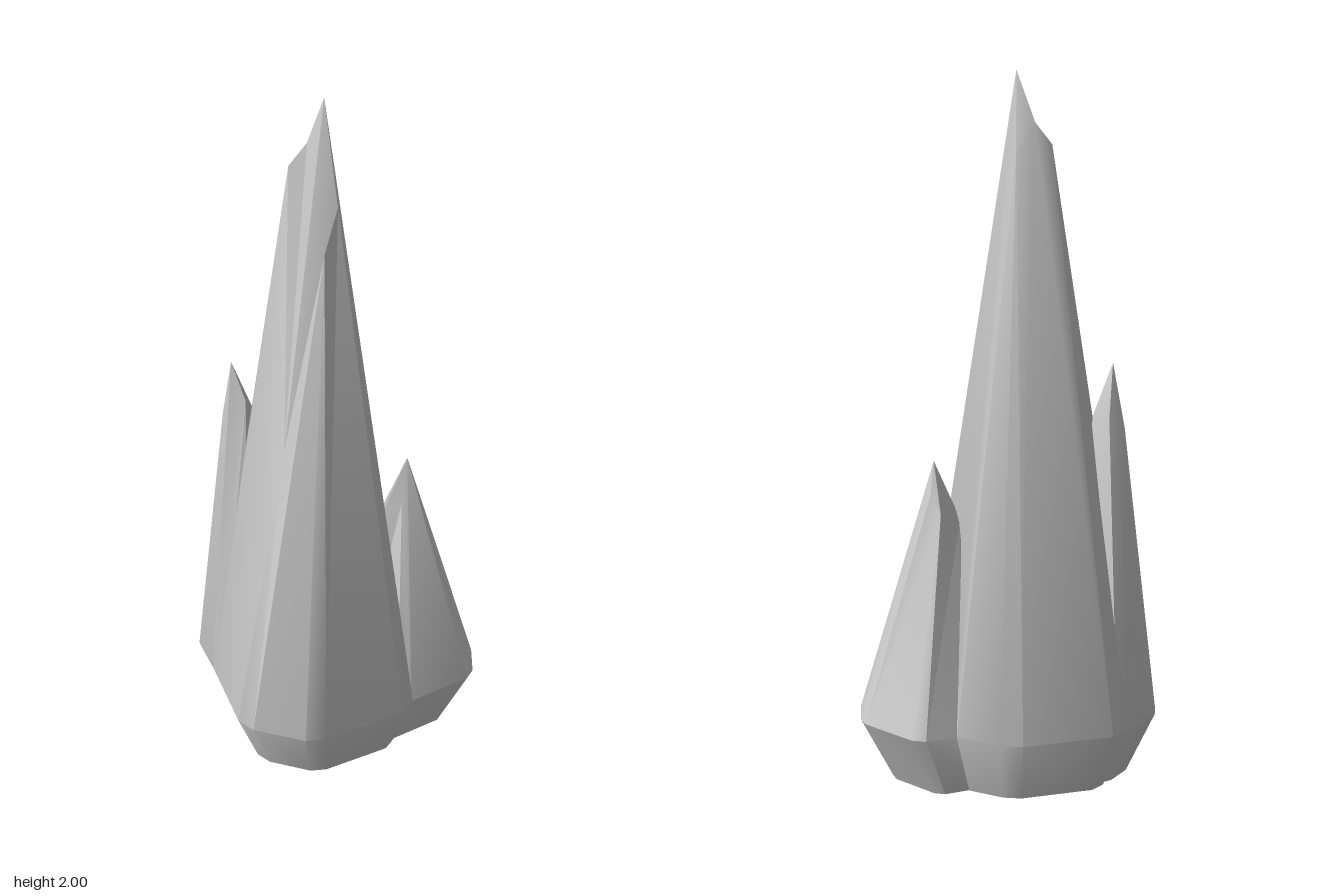
import * as THREE from 'three';
import { toCreasedNormals } from 'three/addons/utils/BufferGeometryUtils.js';

const BELT_Y = 0.18;
const BASE_SCALE = 0.8;

// Fan over a loop of top points, starting at the tip (index 0)
const fan = (n) => Array.from({ length: n - 2 }, (_, k) => [0, k + 2, k + 1]);

// belt: [x, z, index of the top point it rises to], clockwise from above
// tops: [x, y, z], tip first, clockwise from above
function crystal(name, belt, tops, cap = fan(tops.length)) {
  const pos = [];
  const tri = (...corners) => corners.forEach((c) => pos.push(...c));
  const rim = belt.map(([x, z]) => [x, BELT_Y, z]);
  const foot = belt.map(([x, z]) => [x * BASE_SCALE, 0, z * BASE_SCALE]);
  const n = belt.length;

  for (let i = 0; i < n; i++) {
    const j = (i + 1) % n;
    const a = belt[i][2], b = belt[j][2];
    // flared foot
    tri(foot[i], rim[i], rim[j]);
    tri(foot[i], rim[j], foot[j]);
    // long facets
    tri(rim[i], tops[a], rim[j]);
    if (a !== b) tri(rim[j], tops[a], tops[b]);
    // underside
    if (i > 0 && i < n - 1) tri(foot[0], foot[i], foot[j]);
  }
  // broken tip
  cap.forEach((f) => tri(...f.map((k) => tops[k])));

  const geo = new THREE.BufferGeometry();
  geo.setAttribute('position', new THREE.Float32BufferAttribute(pos, 3));
  const mesh = new THREE.Mesh(
    toCreasedNormals(geo, 0.62),
    new THREE.MeshStandardMaterial({ color: 0xcccccc })
  );
  mesh.name = name;
  return mesh;
}

export function createModel() {
  const group = new THREE.Group();
  group.name = 'crystalCluster';

  // Tall central crystal with a notch split into its front
  group.add(crystal('mainCrystal',
    [
      [0.315, 0, 0], [0.32, 0.065, 1], [0.2, 0.29, 2], [0.155, 0.33, 2],
      [0, 0.377, 3], [-0.06, 0.37, 3], [-0.27, 0.22, 4], [-0.32, 0.15, 4],
      [-0.375, -0.04, 4], [-0.36, -0.1, 5], [-0.17, -0.28, 6], [-0.11, -0.302, 6],
      [0.025, -0.303, 0], [0.055, -0.27, 0],
    ],
    [
      [0, 2, 0.01], [0.055, 1.72, 0.027], [0.07, 1.62, 0.11], [-0.01, 1.04, 0.19],
      [-0.1, 1.8, 0.03], [-0.065, 1.86, -0.005], [-0.03, 1.78, -0.05],
    ],
    [[3, 2, 1], [3, 1, 0], [3, 0, 5], [3, 5, 4], [0, 6, 5]]
  ));

  // Low, wide crystal at the back left
  group.add(crystal('backCrystal',
    [
      [0.395, -0.185, 0], [0.312, 0.005, 1], [0.28, 0.03, 1], [0.12, 0, 2],
      [0.02, -0.2, 3], [0.005, -0.275, 3], [0.085, -0.37, 4], [0.125, -0.38, 4],
      [0.305, -0.335, 5], [0.335, -0.31, 0], [0.39, -0.225, 0],
    ],
    [
      [0.185, 0.92, -0.14], [0.195, 0.79, -0.1], [0.155, 0.77, -0.07],
      [0.12, 0.74, -0.11], [0.135, 0.78, -0.19], [0.17, 0.83, -0.187],
    ]
  ));

  // Thin crystal on the right side
  group.add(crystal('sideCrystal',
    [
      [-0.15, 0.06, 3], [-0.18, 0.16, 4], [-0.24, 0.21, 4], [-0.285, 0.205, 0],
      [-0.385, 0.145, 1], [-0.395, 0.12, 1], [-0.385, 0.01, 1], [-0.365, -0.02, 2],
      [-0.345, -0.04, 2], [-0.2, -0.04, 3],
    ],
    [
      [-0.26, 1.2, 0.095], [-0.3, 1.02, 0.09], [-0.275, 1.05, 0.04],
      [-0.215, 1.05, 0.06], [-0.22, 1.08, 0.085],
    ]
  ));

  return group;
}
